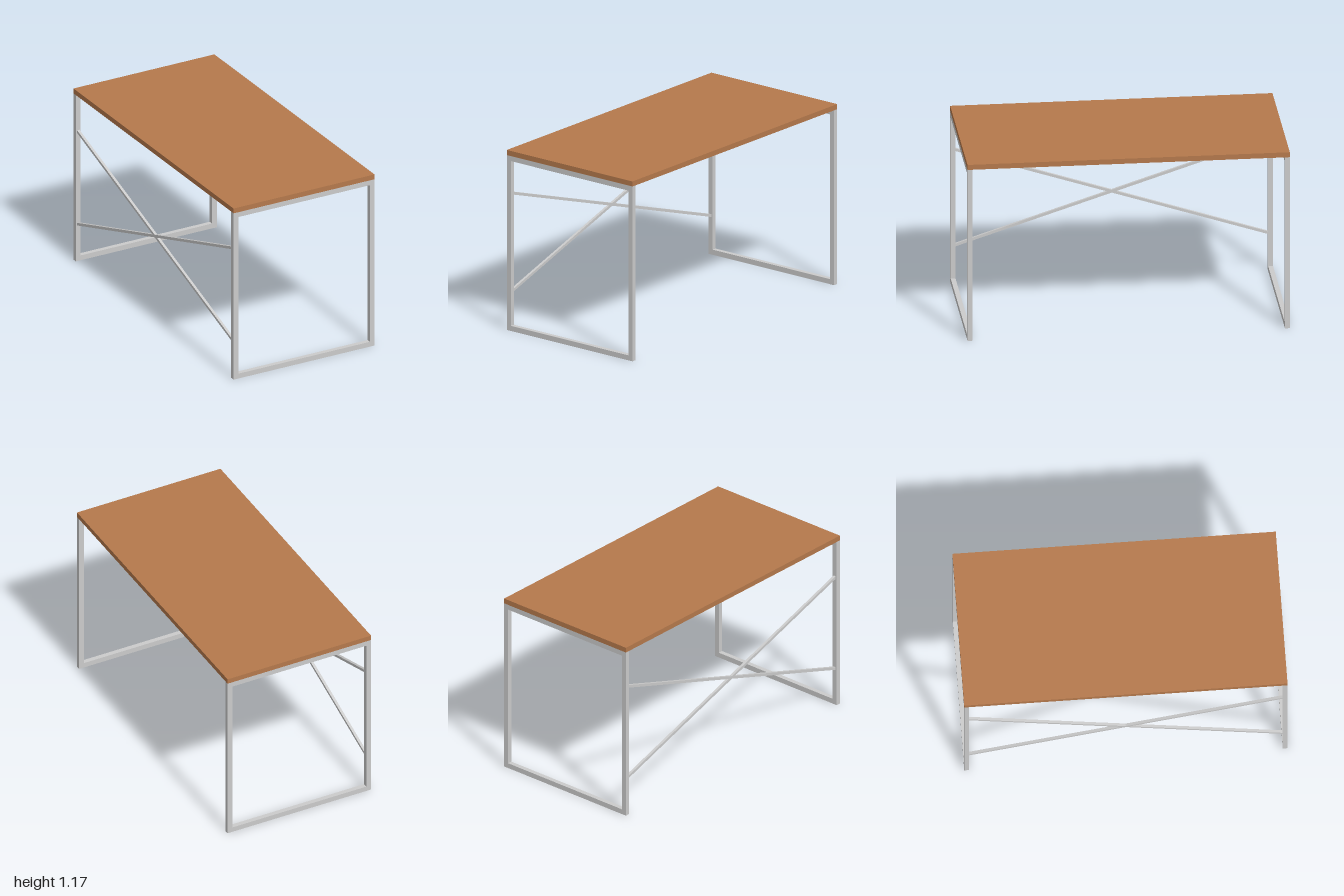
import * as THREE from 'three';

const W = 1, L = 2, H = 1.167;   // width, length, height
const TOP = 0.033;               // tabletop thickness
const BAR = 0.033, DEPTH = 0.03; // frame bar width and depth
const FRAME_H = H - TOP;

const metal = new THREE.MeshStandardMaterial({ color: 0xcccccc });
const wood = new THREE.MeshStandardMaterial({ color: 0xb5794c });

function add(parent, name, geometry, material, x, y, z) {
  const mesh = new THREE.Mesh(geometry, material);
  mesh.name = name;
  mesh.position.set(x, y, z);
  parent.add(mesh);
  return mesh;
}

// Closed rectangular leg frame, extruded along z
function frameGeometry() {
  const rect = (Type, x, y0, y1) => new Type([
    new THREE.Vector2(-x, y0), new THREE.Vector2(x, y0),
    new THREE.Vector2(x, y1), new THREE.Vector2(-x, y1),
  ]);
  const shape = rect(THREE.Shape, W / 2, 0, FRAME_H);
  shape.holes.push(rect(THREE.Path, W / 2 - BAR, BAR, FRAME_H - BAR));
  return new THREE.ExtrudeGeometry(shape, { depth: DEPTH, bevelEnabled: false });
}

export function createModel() {
  const table = new THREE.Group();
  table.name = 'table';

  // Wooden top
  add(table, 'tabletop', new THREE.BoxGeometry(W, TOP, L), wood, 0, H - TOP / 2, 0);

  // Leg frames at both ends
  const frame = frameGeometry();
  add(table, 'frontLegFrame', frame, metal, 0, 0, L / 2 - DEPTH);
  add(table, 'backLegFrame', frame, metal, 0, 0, -L / 2);

  // Rail under the middle of the top
  const span = L - 2 * DEPTH;
  add(table, 'centreRail', new THREE.BoxGeometry(BAR, BAR, span), metal, 0, FRAME_H - BAR / 2, 0);

  // Crossed braces between the legs on the right side
  const rise = 0.632;
  const brace = new THREE.BoxGeometry(0.017, 0.017, Math.hypot(span, rise) + 0.01);
  for (const side of [-1, 1]) {
    const mesh = add(table, side < 0 ? 'crossBraceA' : 'crossBraceB', brace, metal, -W / 2 + BAR / 2, 0.568, 0);
    mesh.rotation.x = side * Math.atan2(rise, span);
  }
  return table;
}
